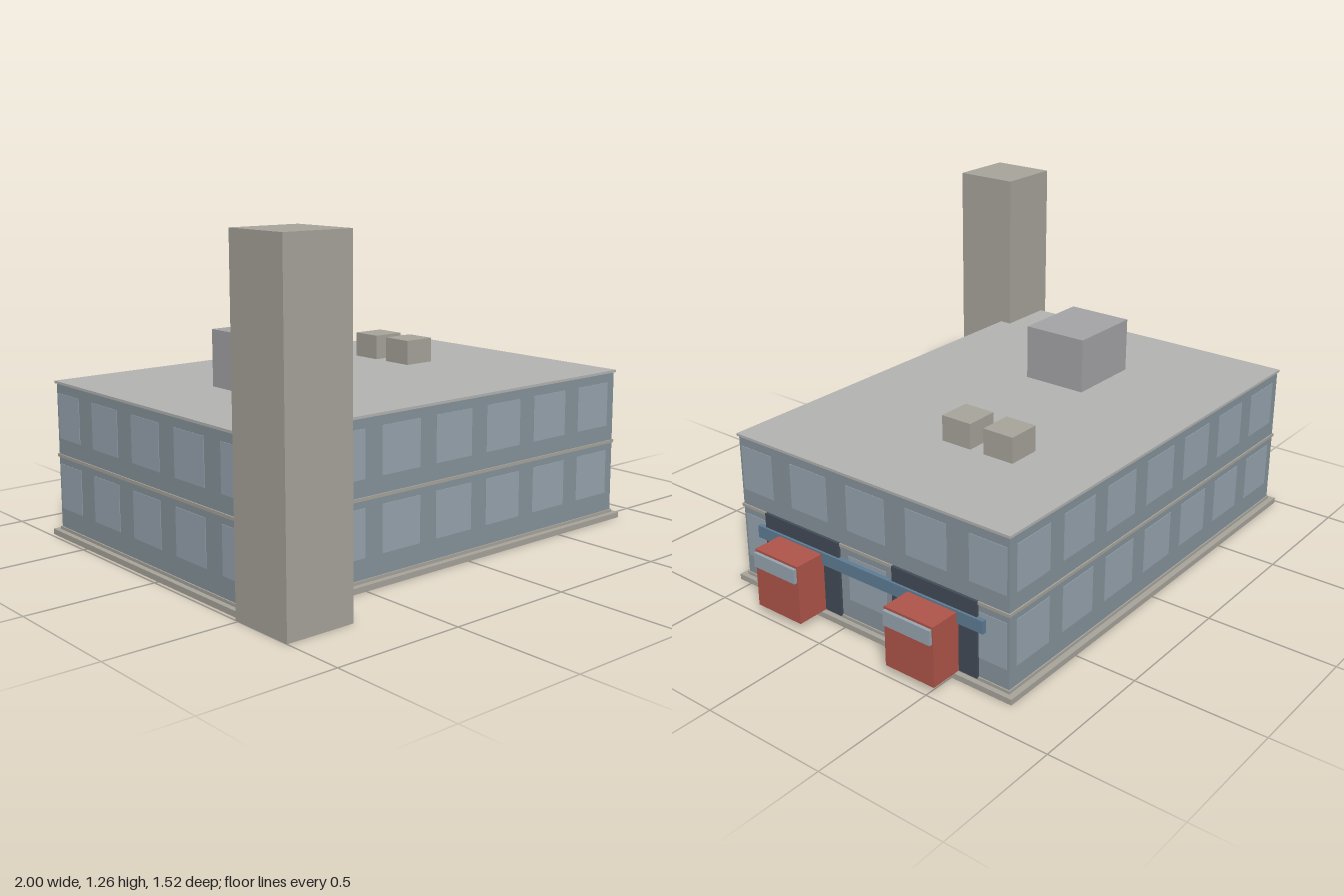
import * as THREE from 'three';

const mat = (color) => new THREE.MeshStandardMaterial({ color });

export function createModel() {
  const model = new THREE.Group();
  const stone = mat(0xa8a59c), roofGrey = mat(0xb4b4b2), plantGrey = mat(0xa5a5a8);
  const wall = mat(0x87949c), pane = mat(0x98a5b0), dark = mat(0x434c57);
  const blue = mat(0x5f7d96), red = mat(0xb0554a);

  // Box given by its extents on each axis
  const box = (name, material, [x0, x1], [y0, y1], [z0, z1]) => {
    const mesh = new THREE.Mesh(new THREE.BoxGeometry(x1 - x0, y1 - y0, z1 - z0), material);
    mesh.position.set((x0 + x1) / 2, (y0 + y1) / 2, (z0 + z1) / 2);
    mesh.name = name;
    model.add(mesh);
    return mesh;
  };

  // Main block on its plinth
  const X = [-0.96, 0.845], Z = [-0.73, 0.53];
  const grow = ([a, b], d) => [a - d, b + d];
  box('plinth', stone, [-0.985, 0.87], [0, 0.022], [-0.758, 0.557]);
  box('walls', wall, X, [0.022, 0.606], Z);

  // Floor bands and roof slab
  box('groundBand', stone, grow(X, 0.005), [0.022, 0.034], grow(Z, 0.005));
  box('middleBand', stone, grow(X, 0.005), [0.315, 0.327], grow(Z, 0.005));
  box('roofSlab', roofGrey, grow(X, 0.006), [0.604, 0.614], grow(Z, 0.006));

  // Window panes on all four sides, two storeys
  const t = 0.002;
  for (const y of [[0.11, 0.288], [0.39, 0.567]]) {
    for (let i = 0; i < 7; i++) {
      const c = -0.0575 + (i - 3) * 0.258;
      box('frontWindow', pane, [c - 0.09, c + 0.09], y, [Z[1] - t, Z[1] + t]);
      box('backWindow', pane, [c - 0.09, c + 0.09], y, [Z[0] - t, Z[0] + t]);
    }
    for (let i = 0; i < 5; i++) {
      const c = -0.1 + (i - 2) * 0.254 * 1.09;
      const z = [Math.max(c - 0.09, Z[0] + 0.01), Math.min(c + 0.09, Z[1] - 0.01)];
      box('leftWindow', pane, [X[1] - t, X[1] + t], y, z);
      box('rightWindow', pane, [X[0] - t, X[0] + t], y, z);
    }
  }

  // Corner tower
  box('tower', stone, [-1, -0.73], [0, 1.265], [0.487, 0.757]);

  // Rooftop plant
  box('plantRoom', plantGrey, [-0.575, -0.258], [0.61, 0.832], [-0.235, 0.033]);
  for (const z of [-0.42, -0.23]) {
    box('ventUnit', stone, [0.295, 0.43], [0.61, 0.714], [z, z + 0.13]);
  }

  // Loading bays, each with a parked vehicle cab
  for (const [doorZ, cabZ] of [[[0.03, 0.405], [0.107, 0.323]], [[-0.602, -0.225], [-0.523, -0.307]]]) {
    box('bayDoor', dark, [0.84, 0.856], [0.03, 0.328], doorZ);
    box('cab', red, [0.85, 0.985], [0.03, 0.263], cabZ);
    box('windscreen', pane, [0.98, 0.998], [0.197, 0.254], grow(cabZ, -0.005));
  }

  // Fascia beam across both bays
  box('fasciaBeam', blue, [0.845, 0.865], [0.221, 0.27], [-0.635, 0.438]);

  return model;
}
